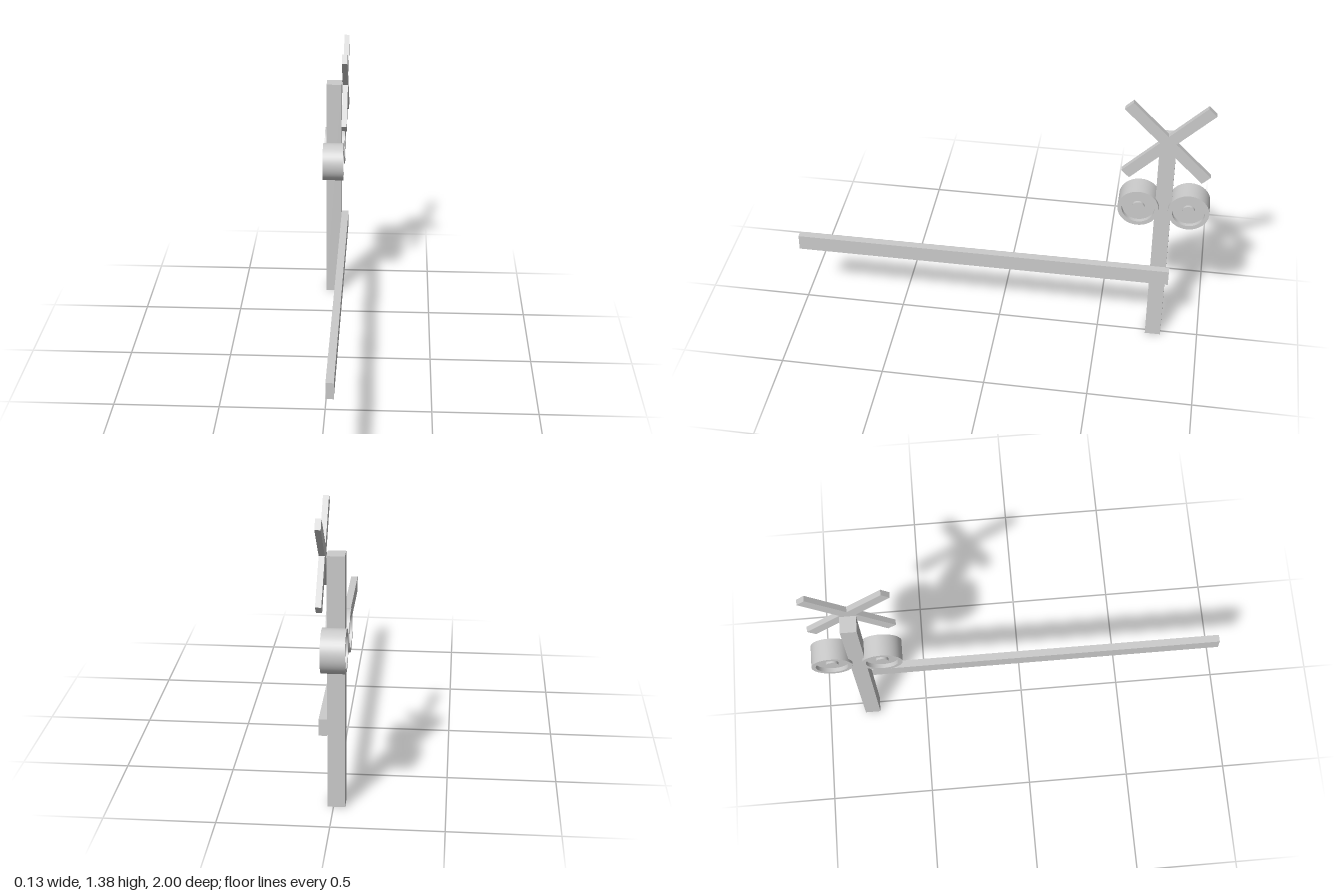
import * as THREE from 'three';

const material = new THREE.MeshStandardMaterial({ color: 0xcccccc });

export function createModel() {
  const model = new THREE.Group();
  model.name = 'railwayCrossingSignal';

  // Box given by its min and max corners
  function box(name, min, max) {
    const size = max.map((v, i) => v - min[i]);
    const mesh = new THREE.Mesh(new THREE.BoxGeometry(...size), material);
    mesh.name = name;
    mesh.position.set(...max.map((v, i) => (v + min[i]) / 2));
    model.add(mesh);
    return mesh;
  }

  // Post and barrier arm
  box('post', [-0.052, 0, -0.818], [0.026, 1.18, -0.742]);
  box('barrierArm', [0.026, 0.357, -0.835], [0.062, 0.436, 1]);

  // Crossed warning boards
  for (const side of [-1, 1]) {
    const board = new THREE.Mesh(new THREE.BoxGeometry(0.026, 0.053, 0.526), material);
    board.name = side < 0 ? 'crossBoardA' : 'crossBoardB';
    board.position.set(0.045, 1.18, -0.78);
    board.rotation.x = side * Math.PI / 4;
    model.add(board);
  }

  // Lamps: a drum with a rim, a recess and a small hub at both ends
  const half = 0.053, floor = 0.033, hub = 0.046;
  const profile = [
    [0, -hub], [0.03, -hub], [0.03, -floor], [0.077, -floor], [0.077, -half], [0.097, -half],
    [0.097, half], [0.077, half], [0.077, floor], [0.03, floor], [0.03, hub], [0, hub],
  ];
  // Each profile segment is turned separately so its edges stay sharp
  function makeLamp(name, z) {
    const lamp = new THREE.Group();
    lamp.name = name;
    for (let i = 0; i < profile.length - 1; i++) {
      const points = [profile[i], profile[i + 1]].map(p => new THREE.Vector2(...p));
      const surface = new THREE.Mesh(new THREE.LatheGeometry(points, 40), material);
      surface.name = 'lampSurface';
      lamp.add(surface);
    }
    lamp.rotation.z = -Math.PI / 2;
    lamp.position.set(-0.013, 0.787, z);
    model.add(lamp);
  }
  makeLamp('frontLamp', -0.664);
  makeLamp('backLamp', -0.9);

  return model;
}
